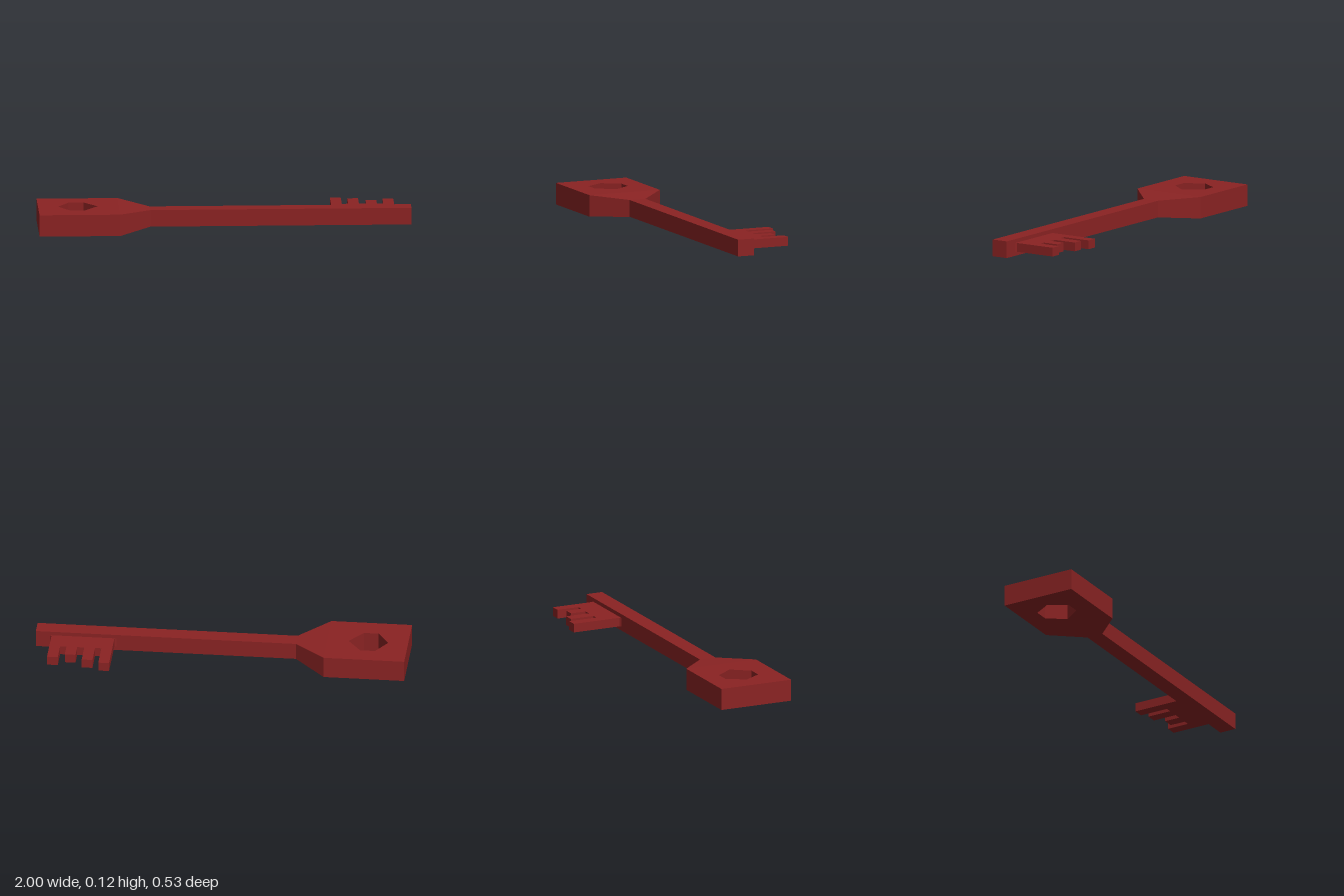
import * as THREE from 'three';

const material = new THREE.MeshStandardMaterial({ color: 0x8b2323, flatShading: true });

// Flat plate drawn as [x, z] points, standing from y0 to y1
function plate(name, points, y0, y1, hole) {
  const toVectors = (list) => list.map(([x, z]) => new THREE.Vector2(x, -z));
  const shape = new THREE.Shape(toVectors(points));
  if (hole) shape.holes.push(new THREE.Path(toVectors(hole)));
  const geometry = new THREE.ExtrudeGeometry(shape, { depth: y1 - y0, bevelEnabled: false });
  geometry.rotateX(-Math.PI / 2).translate(0, y0, 0);
  const mesh = new THREE.Mesh(geometry, material);
  mesh.name = name;
  return mesh;
}

// Box whose cross-section changes from one end to the other; an end is { x, y: [low, high], z: [back, front] }
function taperedBar(name, start, end) {
  const geometry = new THREE.BoxGeometry(1, 1, 1);
  const p = geometry.attributes.position;
  for (let i = 0; i < p.count; i++) {
    const s = p.getX(i) < 0 ? start : end;
    p.setXYZ(i, s.x, s.y[p.getY(i) < 0 ? 0 : 1], s.z[p.getZ(i) < 0 ? 0 : 1]);
  }
  geometry.computeVertexNormals();
  const mesh = new THREE.Mesh(geometry, material);
  mesh.name = name;
  return mesh;
}

export function createModel() {
  const group = new THREE.Group();
  group.name = 'key';

  // Bow: rectangular handle with a six-sided hole
  const bowEnd = { x: -0.566, y: [0, 0.117], z: [-0.148, 0.266] };
  const [back, front] = bowEnd.z;
  const hole = [[-0.893, 0.054], [-0.832, 0.151], [-0.752, 0.151], [-0.68, 0.054], [-0.752, -0.044], [-0.832, -0.044]];
  group.add(plate('bow', [[-1, front], [bowEnd.x, front], [bowEnd.x, back], [-1, back]], 0, 0.117, hole));

  // Neck narrows into the long square shank
  const shankStart = { x: -0.4, y: [0.014, 0.105], z: [0.013, 0.105] };
  group.add(taperedBar('neck', bowEnd, shankStart));
  group.add(taperedBar('shank', shankStart, { ...shankStart, x: 1 }));

  // Bit: thin comb with four teeth of differing length
  const toothWidth = 0.058;
  const root = -0.105;
  const teeth = [[0.577, -0.266], [0.669, -0.24], [0.765, -0.192], [0.857, -0.228]];
  const outline = [[0.567, 0.013], [0.577, 0.006]];
  teeth.forEach(([x, tip], i) => {
    if (i > 0) outline.push([x, root]);
    outline.push([x, tip], [x + toothWidth, tip]);
    if (i < teeth.length - 1) outline.push([x + toothWidth, root]);
  });
  outline.push([0.915, 0.006], [0.925, 0.013]);
  group.add(plate('bit', outline, 0.036, 0.084));

  return group;
}
